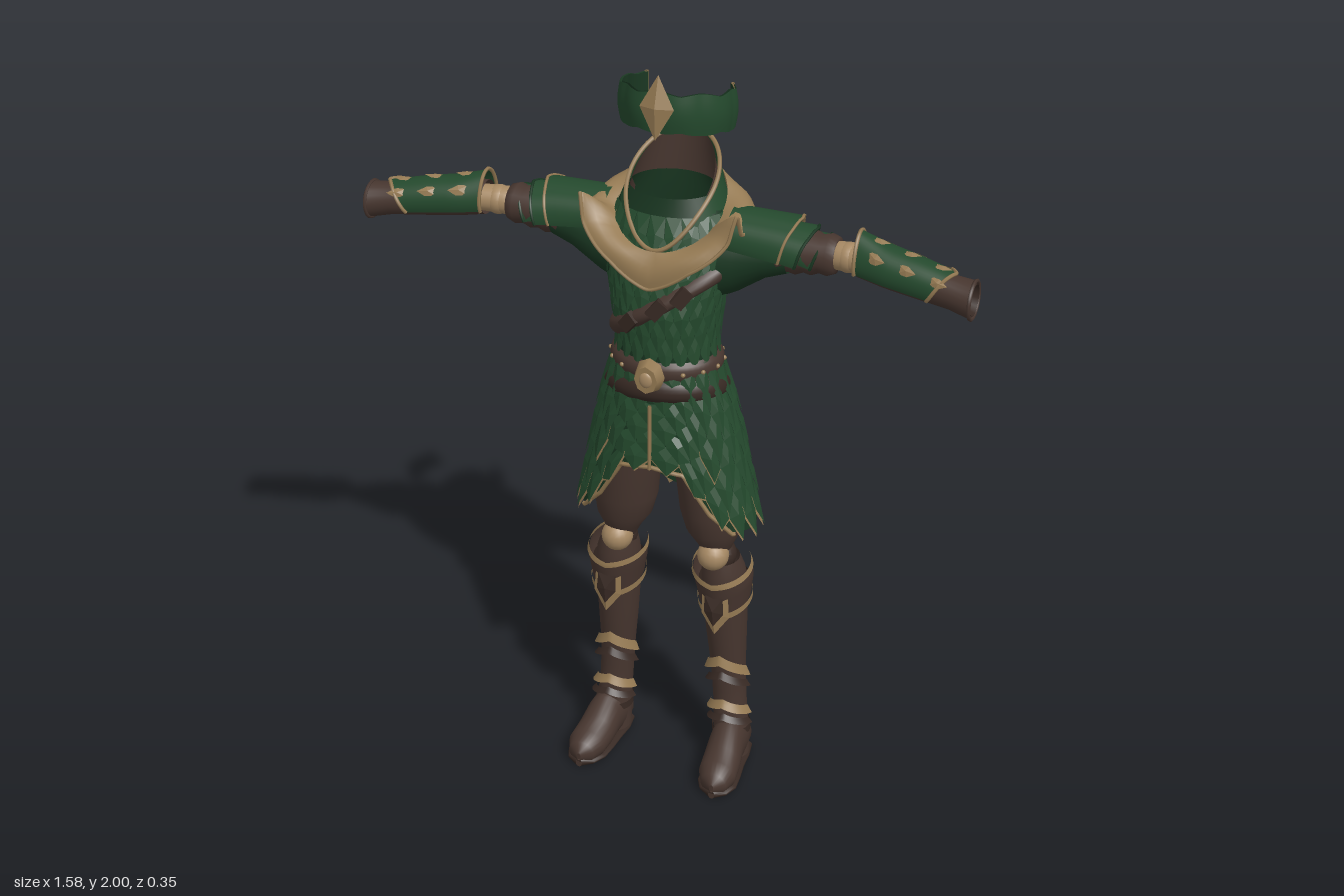
import * as THREE from 'three';

const mat = (name, color) => Object.assign(new THREE.MeshStandardMaterial({ color, side: THREE.DoubleSide }), { name });
const V = (x, y, z) => new THREE.Vector3(x, y, z);
const { sin, cos, abs, sign, PI, max } = Math;
const pw = (s, p) => sign(s) * abs(s) ** p;

// Linear look-up in a table whose rows start with an ascending key
function look(table, k) {
  let i = 0;
  while (i < table.length - 2 && k > table[i + 1][0]) i++;
  const p = table[i], q = table[i + 1];
  const t = THREE.MathUtils.clamp((k - p[0]) / (q[0] - p[0]), 0, 1);
  return p.slice(1).map((v, j) => v + (q[j + 1] - v) * t);
}
// Surface from a function of (u, v); closed welds the u seam
function sheet(f, nu, nv, closed = false) {
  const pos = [], idx = [], w = closed ? nu : nu + 1;
  for (let j = 0; j <= nv; j++) for (let i = 0; i < w; i++) pos.push(...f(i / nu, j / nv).toArray());
  for (let j = 0; j < nv; j++) for (let i = 0; i < nu; i++) {
    const a = j * w + i, b = j * w + (i + 1) % w;
    idx.push(a, b, b + w, a, b + w, a + w);
  }
  const g = new THREE.BufferGeometry();
  g.setAttribute('position', new THREE.Float32BufferAttribute(pos, 3));
  g.setIndex(idx);
  g.computeVertexNormals();
  return g;
}
// Elliptical rings [x, y, z, r1, r2] along an axis; half < PI gives an open shell
function loft(rows, axis, half = PI, n = 24) {
  return sheet((u, v) => {
    const [x, y, z, r1, r2] = rows[Math.round(v * (rows.length - 1))], a = (u * 2 - 1) * half;
    if (axis === 'x') return V(x, y + r1 * cos(a), z + r2 * sin(a));
    if (axis === 'z') return V(x + r1 * sin(a), max(0, y + r2 * cos(a)), z);
    return V(x + r1 * sin(a), y, z + r2 * cos(a));
  }, n, rows.length - 1, half === PI);
}
// Tube along a curve f(u)
function trim(f, r, closed = false, n = 40) {
  const pts = Array.from({ length: closed ? n : n + 1 }, (_, i) => f(i / n));
  return new THREE.TubeGeometry(new THREE.CatmullRomCurve3(pts, closed), n * 2, r, 5, closed);
}
// Ridged pointed plates laid on surf(a, t, off); each plate is [a, t0, t1, halfWidth]
function scales(surf, plates, grow = 1, lift = 0) {
  const pos = [], out = [[-1, 0], [1, 0], [1, 0.55], [0, 1], [-1, 0.55]];
  for (const [a, t0, t1, w] of plates) {
    const at = (u, v, o) => surf(a + u * w * grow, t0 + (t1 - t0) * v * grow, 0.003 + 0.014 * v + o + lift).toArray();
    out.forEach((p, i) => {
      const q = out[(i + 1) % 5];
      pos.push(...at(0, 0.45, 0.007), ...at(p[0], p[1], 0), ...at(q[0], q[1], 0));
    });
  }
  const g = new THREE.BufferGeometry();
  g.setAttribute('position', new THREE.Float32BufferAttribute(pos, 3));
  g.computeVertexNormals();
  return g;
}
function plateRows(rows, n, t0, t1, overlap) {
  const list = [], h = (t1 - t0) / rows;
  for (let r = 0; r < rows; r++) for (let i = 0; i < n; i++)
    list.push([(i + (r % 2) / 2) / n * 2 * PI - PI, t0 + h * (r + 1 - overlap), t0 + h * (r + 1), PI / n * 0.97]);
  return list;
}
function mirrored(g) {
  const m = g.clone().applyMatrix4(new THREE.Matrix4().makeScale(-1, 1, 1));
  const idx = g.index ? [...g.index.array] : [...Array(g.attributes.position.count).keys()];
  m.setIndex(idx.reverse());
  return m;
}

const TORSO = [[1.12, 0.15, 0.115, 0], [1.22, 0.13, 0.105, 0], [1.3, 0.123, 0.108, -0.002], [1.4, 0.137, 0.122, -0.006],
  [1.48, 0.152, 0.12, -0.015], [1.56, 0.165, 0.11, -0.025], [1.63, 0.14, 0.095, -0.035], [1.68, 0.11, 0.09, -0.04]];
const torso = (a, y, off = 0) => {
  const [rx, rz, cz] = look(TORSO, y);
  return V((rx + off) * sin(a), y, cz + (rz + off) * cos(a));
};
const HEM = [[0, 0.96], [0.35, 0.95], [0.65, 0.84], [0.95, 0.78], [1.57, 0.77], [2.3, 0.79], [2.8, 0.8], [3.15, 0.76]];
const SKIRT = [[0.75, 0.242, 0.122, -0.014], [0.95, 0.2, 0.12, -0.012], [1.1, 0.168, 0.113, -0.008], [1.22, 0.132, 0.105, 0]];
const skirt = (a, t, off = 0) => {
  const b = abs(a) > PI ? 2 * PI - abs(a) : abs(a);
  const y = 1.22 + t * (look(HEM, b)[0] - 1.22), [rx, rz, cz] = look(SKIRT, y);
  return V((rx + off) * pw(sin(a), 0.85), y, cz + (rz + off) * pw(cos(a), 0.85));
};
const LEG = [[0.02, 0.175, -0.035, 0.05, 0.053], [0.1, 0.172, -0.038, 0.047, 0.052], [0.2, 0.165, -0.043, 0.045, 0.048], [0.3, 0.16, -0.042, 0.047, 0.05],
  [0.4, 0.156, -0.038, 0.053, 0.06], [0.5, 0.153, -0.034, 0.058, 0.068], [0.6, 0.15, -0.026, 0.06, 0.068], [0.65, 0.145, -0.02, 0.048, 0.055]];
const leg = (a, y, off = 0) => {
  const [x, z, rx, rz] = look(LEG, y);
  return V(x + (rx + off) * sin(a), y, z + (rz + off) * cos(a));
};

export function createModel() {
  const root = new THREE.Group();
  root.name = 'armourOutfit';
  const green = mat('leafGreen', 0x24492d), darkGreen = mat('deepGreen', 0x193621), brown = mat('leatherBrown', 0x47362f),
    darkBrown = mat('darkLeather', 0x372923), gold = mat('agedGold', 0x957a53), pale = mat('jointTan', 0xa58863);
  const add = (name, g, m) => {
    const mesh = new THREE.Mesh(g, m);
    mesh.name = name;
    root.add(mesh);
  };
  const pair = (name, g, m) => { add(name + 'Left', g, m); add(name + 'Right', mirrored(g), m); };
  const ball = (x, y, z, r, sx = 1, sy = 1, sz = 1) => new THREE.SphereGeometry(r, 18, 12).scale(sx, sy, sz).translate(x, y, z);
  const ang = u => (u * 2 - 1) * PI;

  // Headband, open at the back, with a pointed ornament
  const band = (u, v, off = 0) => {
    const a = (u * 2 - 1) * 2.2, r = off + 0.006 * abs(sin(a * 4));
    const jag = 0.008 * abs(cos(a * 4)) * (v - 0.5) * 2;
    return V((0.135 + r) * sin(a), 1.905 - 0.024 * (1 - cos(a)) + (v - 0.5) * 0.09 + jag, -0.07 + (0.13 + r) * cos(a));
  };
  add('headband', sheet((u, v) => band(u, v, 0.006 * sin(v * PI)), 64, 6), green);
  add('headbandLining', sheet((u, v) => band(u, v, -0.006), 64, 2), darkGreen);
  for (const u of [0, 1]) add('headbandEnd', trim(v => band(u, v), 0.006, false, 6), gold);
  add('headbandOrnament', new THREE.OctahedronGeometry(1).scale(0.044, 0.08, 0.016).rotateX(-0.14).translate(0, 1.92, 0.07), gold);

  // Scaled torso
  add('torso', sheet((u, v) => torso(ang(u), 1.12 + v * 0.56), 40, 14, true), darkGreen);
  add('torsoScales', scales((a, t, o) => torso(a, 1.6 - t * 0.36, o * 0.7), plateRows(7, 22, 0, 1, 1.7)), green);

  // Standing collar with a brown lining and gold edge
  const collar = (a, v, off = 0) => {
    const c = cos(a), top = 1.7 - 0.085 * c - 0.055 * max(0, c) ** 3;
    return V((0.145 - 0.033 * v + off) * sin(a), top - (1 - v) * (0.085 - 0.045 * c), -0.035 + (0.13 + off) * c);
  };
  add('collar', sheet((u, v) => collar(ang(u), v), 48, 4, true), green);
  add('collarLining', sheet((u, v) => collar(ang(u), 1 - v * 2.2, -0.01 - 0.01 * v), 48, 5, true), brown);
  add('collarEdge', trim(u => collar(ang(u), 1), 0.006, true), gold);

  // Gold mantle over the shoulders
  const EDGE = [[0, 1.47, 1], [0.35, 1.525, 1], [0.75, 1.57, 1], [0.95, 1.6, 1.02], [1.12, 1.675, 1.03], [1.3, 1.61, 1.0],
    [1.7, 1.61, 1], [2.1, 1.6, 1], [2.5, 1.54, 1], [3.15, 1.51, 1]];
  const mantle = (a, v) => {
    const [ey, k] = look(EDGE, abs(a)), c = cos(a), s = sin(a);
    const inner = V(0.135 * s, 1.64 - 0.08 * c, -0.032 + 0.135 * c);
    const outer = V(0.212 * k * pw(s, 0.7), ey, -0.02 + 0.15 * k * pw(c, 0.7));
    return inner.lerp(outer, v).add(V(0.012 * s, 0.018 * abs(s), 0.012 * c).multiplyScalar(sin(v * PI)));
  };
  add('mantle', sheet((u, v) => mantle(ang(u), 1 - v), 96, 6, true), gold);
  add('mantleEdge', trim(u => mantle(ang(u), 1), 0.005, true, 72), gold);

  // Diagonal chest strap
  const strip = (surf, mid, h, off) => sheet((u, v) =>
    surf(ang(u), mid(ang(u)) + (v - 0.5) * h, off * sin(max(0.02, v * 0.98) * PI) ** 0.4), 56, 6, true);
  add('chestStrap', strip(torso, a => 1.405 + 0.1 * sin(a), 0.05, 0.024), brown);
  for (const a of [-0.35, 0.15, 0.5]) {
    const p = torso(a, 1.405 + 0.1 * sin(a), 0.022);
    add('strapPouch', new THREE.BoxGeometry(0.035, 0.05, 0.016).rotateZ(-0.7).rotateY(a).translate(p.x, p.y, p.z), darkBrown);
  }

  // Belts, studs and buckle
  add('upperBelt', strip(torso, () => 1.235, 0.055, 0.018), brown);
  add('lowerBelt', strip((a, y, o) => torso(a, y, o), a => 1.165 + 0.018 * cos(a) + 0.008 * sin(a), 0.06, 0.022), darkBrown);
  for (let i = 0; i < 16; i++) {
    const p = torso((i + 0.5) / 8 * PI, 1.235, 0.018);
    add('beltStud', ball(p.x, p.y, p.z, 0.006), gold);
  }
  add('buckle', new THREE.CylinderGeometry(0.034, 0.044, 0.03, 8).rotateX(PI / 2).scale(0.9, 1.1, 1).translate(0, 1.228, 0.134), gold);
  add('buckleBoss', ball(0, 1.228, 0.147, 0.018, 1, 1.2, 0.5), pale);

  // Skirt of overlapping scales with gilded hem and front edges
  add('skirtBase', sheet((u, v) => skirt(ang(u), 1 - v), 72, 8, true), darkGreen);
  const plates = plateRows(6, 20, 0.04, 1.03, 1.75);
  add('skirtScales', scales(skirt, plates), green);
  const gilded = plates.filter(([a, , t1]) => t1 > 1 || abs(abs(a) - 0.75) < 0.12 && t1 > 0.5);
  add('skirtGilding', scales(skirt, gilded, 1.07, -0.004), gold);
  add('skirtFrontEdge', trim(u => skirt((u * 2 - 1) * 1.0, 1, 0.008), 0.006), gold);
  add('skirtFrontSeam', trim(v => skirt(0, 0.3 + v * 0.7, 0.018), 0.005, false, 8), gold);

  // Arms
  pair('underarmCloth', loft([[0.08, 1.49, -0.03, 0.11, 0.085], [0.18, 1.515, -0.035, 0.085, 0.08], [0.25, 1.54, -0.035, 0.062, 0.068], [0.31, 1.55, -0.035, 0.05, 0.055]], 'x'), darkGreen);
  const folds = Array.from({ length: 13 }, (_, i) => {
    const r = 0.062 - i * 0.0014 + (i % 2) * 0.006;
    return [0.19 + i * 0.02, 1.55 + i * 0.0015, -0.038 + i * 0.001, r, r];
  });
  pair('sleeve', loft([...folds, [0.432, 1.57, -0.025, 0.03, 0.03]], 'x'), brown);
  [[0.16, 0.335, 1.565, 0.075, 0.085], [0.25, 0.375, 1.555, 0.066, 0.078], [0.32, 0.41, 1.55, 0.056, 0.064]].forEach(([x0, x1, y, ry, rz], i) => {
    const shell = (u, v) => {
      const a = (u * 2 - 1) * 1.75, x = x0 + (x1 - 0.035 * abs(u * 2 - 1) - x0) * v, k = 0.92 + 0.1 * v;
      return V(x, y + 0.01 * (1 - v) + ry * k * (cos(a) + 0.05 * abs(cos(a * 3))), -0.04 + rz * k * sin(a));
    };
    pair('shoulderPlate', sheet(shell, 28, 5), green);
    pair('shoulderTrim', trim(u => shell(u, 1), 0.004, false, 24), i === 0 ? gold : darkGreen);
  });
  pair('elbowJoint', ball(0.462, 1.572, -0.018, 0.038), pale);
  pair('elbowCuff', loft([[0.425, 1.57, -0.022, 0.034, 0.034], [0.44, 1.572, -0.02, 0.036, 0.036], [0.5, 1.574, -0.012, 0.034, 0.034]], 'x'), pale);
  const ARM = [[0.49, 1.576, -0.012, 0.044, 0.044], [0.56, 1.572, 0, 0.05, 0.05], [0.65, 1.562, 0.016, 0.047, 0.047], [0.73, 1.552, 0.032, 0.042, 0.042], [0.79, 1.545, 0.043, 0.047, 0.047]];
  pair('forearm', loft(ARM, 'x'), brown);
  pair('forearmInside', loft(ARM.slice(2).map(([x, y, z, r]) => [x, y, z, r - 0.008, r - 0.008]), 'x'), darkBrown);
  const bracer = (a, x, off = 0) => {
    const [y, z, r] = look(ARM, x), flare = 0.022 * max(0, 1 - (x - 0.49) / 0.07) * max(0, cos(a));
    return V(x, y + (r + off + flare) * cos(a), z + (r + off) * sin(a));
  };
  pair('bracer', sheet((u, v) => bracer((u * 2 - 1) * 2, 0.49 + v * (0.25 - 0.06 * abs(u * 2 - 1)), 0.008), 28, 10), green);
  for (const x of [0.52, 0.6, 0.68]) for (const a of [-0.95, 0, 0.95])
    pair('bracerInlay', scales((b, t, o) => bracer(b, x + t * 0.05, 0.004 + o * 0.6), [[a, 0, 1, 0.22]]), gold);
  for (const x of [0.49, 0.74]) pair('bracerTrim', trim(u => bracer((u * 2 - 1) * 2, x - (x > 0.6 ? 0.06 * abs(u * 2 - 1) : 0), 0.009), 0.005, false, 24), gold);
  pair('wristRim', trim(u => bracer(ang(u), 0.787), 0.005, true, 24), brown);

  // Trousers and knees
  pair('trouserLeg', loft([[0.132, 0.665, -0.015, 0.034, 0.036], [0.13, 0.7, -0.015, 0.05, 0.055], [0.125, 0.74, -0.014, 0.073, 0.075], [0.12, 0.8, -0.012, 0.085, 0.083],
    [0.112, 0.88, -0.01, 0.084, 0.09], [0.095, 1.0, -0.01, 0.09, 0.1], [0.075, 1.14, -0.01, 0.075, 0.1]], 'y'), brown);
  pair('kneeJoint', ball(0.135, 0.672, 0.018, 0.042), pale);
  pair('kneeBack', ball(0.14, 0.655, -0.02, 0.045), darkBrown);

  // Boots
  pair('bootShaft', sheet((u, v) => leg(ang(u), 0.02 + v * 0.63), 24, 18, true), brown);
  const foot = [[0.175, 0.045, -0.094, 0.02, 0.03], [0.175, 0.055, -0.08, 0.042, 0.055], [0.176, 0.07, -0.03, 0.05, 0.07], [0.18, 0.068, 0.02, 0.049, 0.068],
    [0.185, 0.05, 0.07, 0.052, 0.052], [0.19, 0.042, 0.12, 0.052, 0.044], [0.192, 0.036, 0.155, 0.036, 0.034], [0.193, 0.032, 0.172, 0.006, 0.012]];
  pair('bootFoot', loft(foot, 'z'), brown);
  pair('bootSole', loft(foot.map(([x, , z, r]) => [x, 0.012, z, r + 0.003, 0.012]), 'z'), darkBrown);

  // Knee guards and shin chevrons: y = mid + rise toward the front
  const chevron = (mid, rise, h, A, off, flare = 0) => sheet((u, v) => {
    const s = abs(u * 2 - 1);
    return leg((u * 2 - 1) * A, mid + rise * (1 - s) + (v - 0.5) * h, off + flare * (v - 0.5));
  }, 24, 4);
  pair('kneeGuard', chevron(0.59, -0.04, 0.1, 2.2, 0.016, 0.014), brown);
  pair('kneeGuardTop', chevron(0.64, -0.04, 0.016, 2.2, 0.026), gold);
  pair('kneeGuardBottom', chevron(0.54, -0.045, 0.018, 2.2, 0.014), gold);
  pair('kneePoint', scales((a, t, o) => leg(a, 0.57 - t * 0.12, 0.012 + o), [[0, 0, 1, 0.5]]), gold);
  pair('kneePointInset', scales((a, t, o) => leg(a, 0.565 - t * 0.085, 0.017 + o), [[0, 0, 1, 0.32]]), darkBrown);
  pair('calfStrap', chevron(0.56, 0, 0.05, PI, 0.007), darkBrown);
  [[0.29, 0.055, 0.028], [0.25, 0.045, 0.018], [0.165, 0.035, 0.022], [0.13, 0.03, 0.014]].forEach(([mid, rise, h], i) =>
    pair('shinChevron', chevron(mid, rise, h, 1.5, 0.012, -0.012), i % 2 ? darkBrown : gold));
  pair('ankleStrap', chevron(0.1, 0, 0.022, PI, 0.005), darkBrown);
  return root;
}
